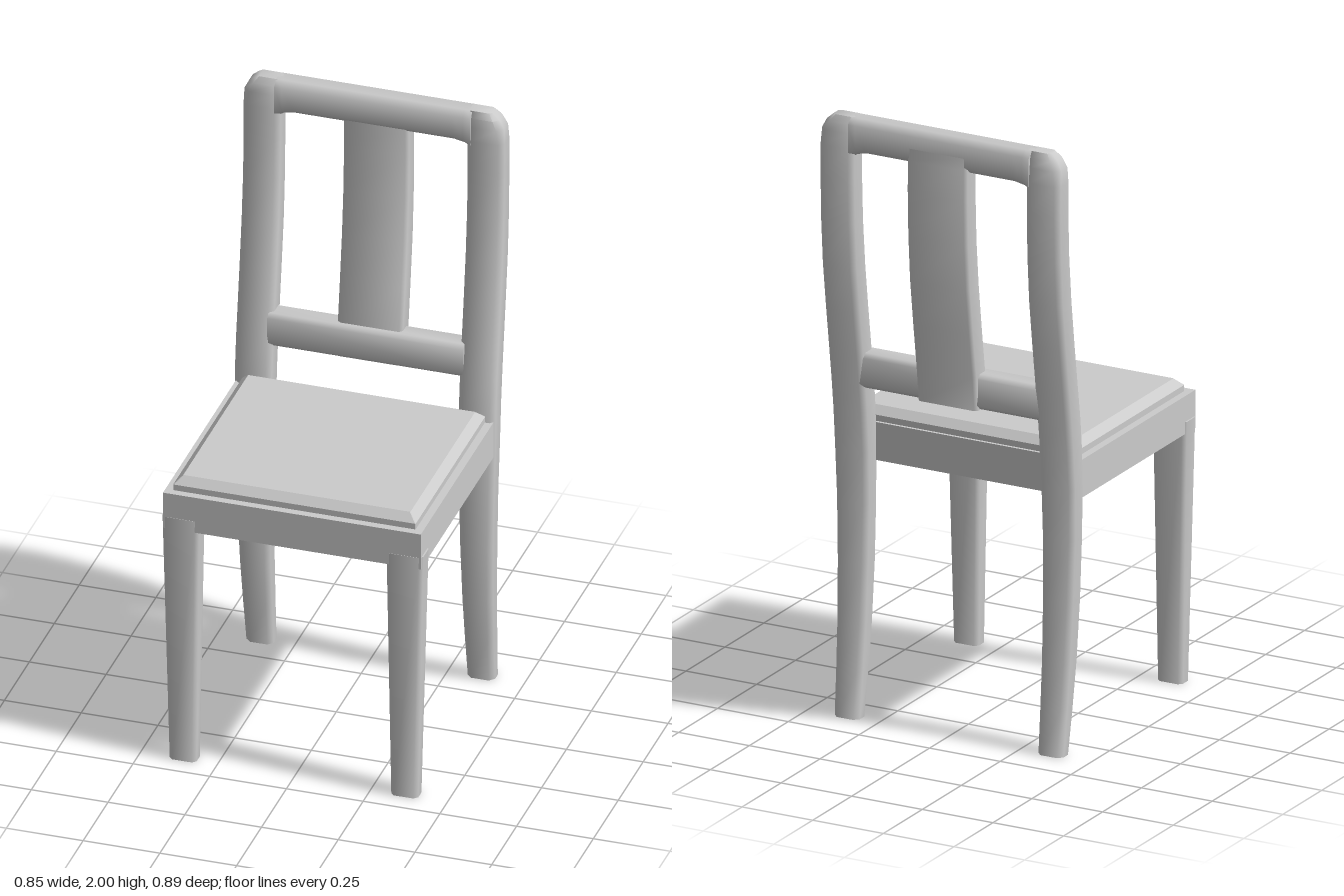
import * as THREE from 'three';
import { toCreasedNormals } from 'three/addons/utils/BufferGeometryUtils.js';

const material = new THREE.MeshStandardMaterial({ color: 0xcccccc });

// Rectangle with cut corners, counter-clockwise in (u, v)
function octagon(u0, u1, v0, v1, c) {
  return [
    [u1, v0 + c], [u1, v1 - c], [u1 - c, v1], [u0 + c, v1],
    [u0, v1 - c], [u0, v0 + c], [u0 + c, v0], [u1 - c, v0],
  ];
}

// Section across the y axis, and section across the x axis
const acrossY = (y, x0, x1, z0, z1, c) => octagon(z0, z1, x0, x1, c).map(([z, x]) => [x, y, z]);
const acrossX = (x, y0, y1, z0, z1, c) => octagon(y0, y1, z0, z1, c).map(([y, z]) => [x, y, z]);

// Skin a row of eight-point sections and close both ends
function loft(name, rings, crease = 0.9) {
  const index = [];
  rings.slice(1).forEach((_, r) => {
    for (let i = 0; i < 8; i++) {
      const a = r * 8 + i, b = r * 8 + (i + 1) % 8;
      index.push(a, b, b + 8, a, b + 8, a + 8);
    }
  });
  const last = (rings.length - 1) * 8;
  for (let i = 1; i < 7; i++) {
    index.push(0, i + 1, i, last, last + i, last + i + 1);
  }
  const geometry = new THREE.BufferGeometry();
  geometry.setAttribute('position', new THREE.Float32BufferAttribute(rings.flat(2), 3));
  geometry.setIndex(index);
  const mesh = new THREE.Mesh(toCreasedNormals(geometry, crease), material);
  mesh.name = name;
  return mesh;
}

// Side curve of the back posts: [y, back z, front z]
const backCurve = [
  [0, -0.39, -0.33], [0.15, -0.374, -0.307], [0.3, -0.36, -0.288], [0.5, -0.349, -0.274],
  [0.7, -0.345, -0.27], [0.87, -0.351, -0.272], [1.0, -0.362, -0.277], [1.1, -0.374, -0.287],
  [1.2, -0.388, -0.302], [1.35, -0.41, -0.324], [1.5, -0.43, -0.344], [1.65, -0.441, -0.358],
  [1.8, -0.445, -0.364], [1.9, -0.444, -0.363],
];

// x span of a part on the left (+1) or right (-1) side
const span = (side, inner, outer) => (side > 0 ? [inner, outer] : [-outer, -inner]);

function backPost(side) {
  const rings = backCurve.map(([y, zb, zf]) => {
    const t = Math.min(y / 0.85, 1);
    return acrossY(y, ...span(side, 0.316 - 0.011 * t, 0.405 + 0.02 * t), zb, zf, 0.016);
  });
  // Rounded shoulder at the top
  rings.push(acrossY(1.95, ...span(side, 0.304, 0.423), -0.442, -0.362, 0.02));
  rings.push(acrossY(1.98, ...span(side, 0.304, 0.408), -0.436, -0.367, 0.018));
  rings.push(acrossY(2.0, ...span(side, 0.304, 0.385), -0.424, -0.38, 0.01));
  return loft('backPost', rings);
}

function frontLeg(side) {
  return loft('frontLeg', [
    acrossY(0, ...span(side, 0.317, 0.405), 0.38, 0.436, 0.012),
    acrossY(0.87, ...span(side, 0.305, 0.425), 0.37, 0.446, 0.012),
  ]);
}

export function createModel() {
  const chair = new THREE.Group();
  chair.name = 'chair';

  for (const side of [1, -1]) chair.add(frontLeg(side), backPost(side));

  // Seat frame
  const frame = new THREE.Mesh(new THREE.BoxGeometry(0.84, 0.125, 0.735), material);
  frame.position.set(0, 0.8925, 0.0775);
  frame.name = 'seatFrame';
  chair.add(frame);

  // Seat panel with a bevelled edge
  chair.add(loft('seatPanel', [
    acrossY(0.95, -0.395, 0.395, -0.28, 0.42, 0.002),
    acrossY(0.975, -0.395, 0.395, -0.28, 0.42, 0.002),
    acrossY(1.0, -0.37, 0.37, -0.255, 0.395, 0.002),
  ], 0.3));

  // Top rail, with the underside easing into the posts
  chair.add(loft('topRail', [[-0.32, 1.868], [-0.295, 1.883], [-0.26, 1.89],
    [0.26, 1.89], [0.295, 1.883], [0.32, 1.868]].map(
    ([x, bottom]) => acrossX(x, bottom, 2.0, -0.444, -0.361, 0.02))));

  // Lower rail
  chair.add(loft('lowerRail', [-0.32, 0.32].map(
    (x) => acrossX(x, 1.09, 1.205, -0.372, -0.292, 0.014))));

  // Curved splat following the posts
  const splatCurve = backCurve.filter(([y]) => y > 1.05);
  splatCurve[0] = [1.087, -0.375, -0.298];
  splatCurve.push([1.94, -0.442, -0.362]);
  chair.add(loft('splat', splatCurve.map(
    ([y, zb, zf]) => acrossY(y, -0.1, 0.112, zb - 0.002, zf - 0.012, 0.01))));

  return chair;
}
